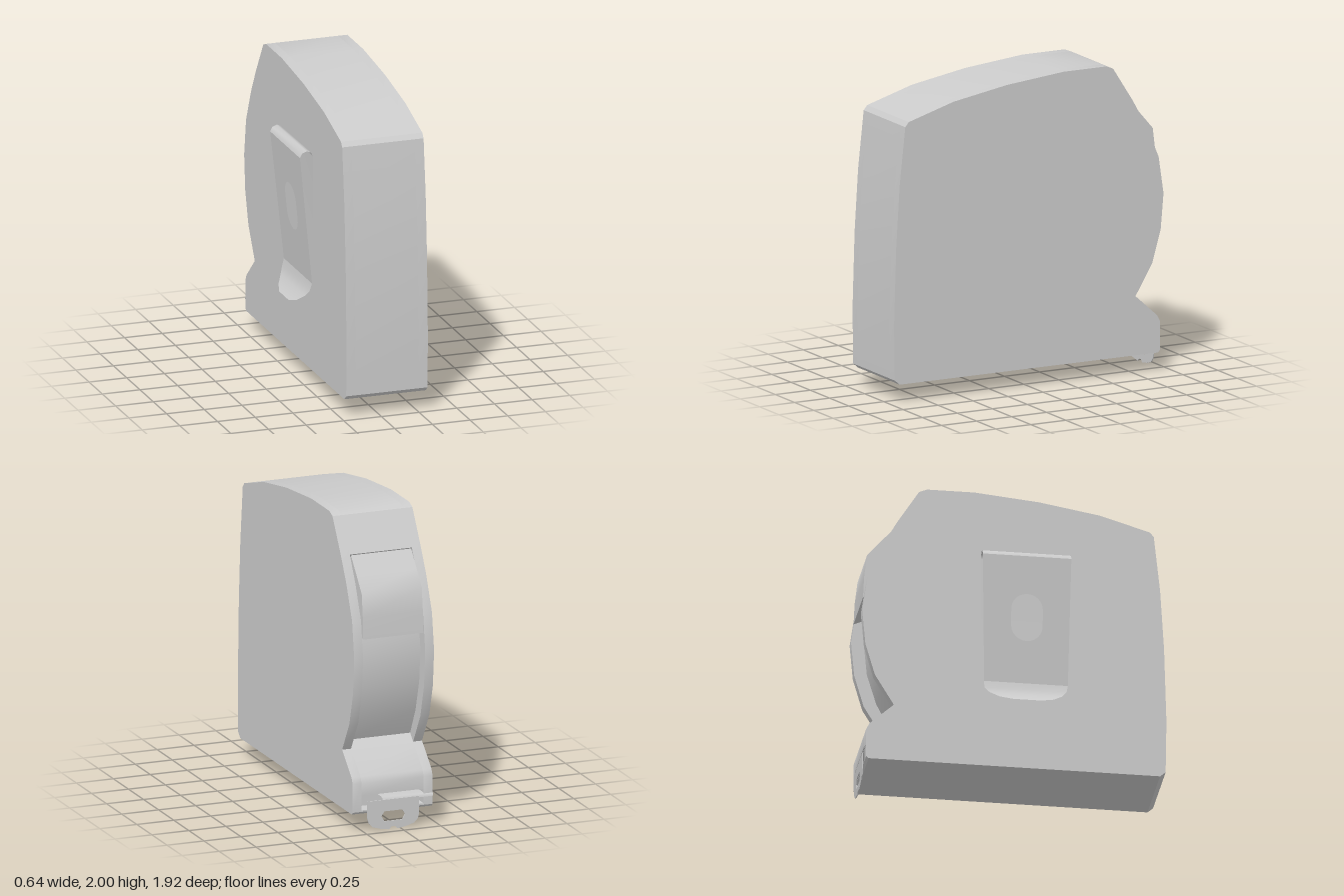
import * as THREE from 'three';
import { toCreasedNormals } from 'three/addons/utils/BufferGeometryUtils.js';

const material = new THREE.MeshStandardMaterial({ color: 0xcccccc });
const thin = new THREE.MeshStandardMaterial({ color: 0xcccccc, side: THREE.DoubleSide });
const toShape = (pts) => new THREE.Shape(pts.map(([a, b]) => new THREE.Vector2(a, b)));

function addMesh(group, name, geometry, mat = material) {
  const mesh = new THREE.Mesh(geometry, mat);
  mesh.name = name;
  group.add(mesh);
}

// Side profile [-z, y] extruded across the width from x0 to x1
function slab(pts, x0, x1, crease = 0.5) {
  const g = new THREE.ExtrudeGeometry(toShape(pts), { depth: x1 - x0, bevelEnabled: false });
  g.rotateY(Math.PI / 2).translate(x0, 0, 0);
  return toCreasedNormals(g, crease);
}

// Bent sheet through rows [x, y, zMin, zMax]
function ribbon(rows) {
  const pos = [], index = [];
  rows.forEach(([x, y, z0, z1], i) => {
    pos.push(x, y, z0, x, y, z1);
    const k = 2 * i;
    if (i) index.push(k - 2, k - 1, k, k - 1, k + 1, k);
  });
  const g = new THREE.BufferGeometry();
  g.setAttribute('position', new THREE.Float32BufferAttribute(pos, 3));
  g.setIndex(index);
  g.computeVertexNormals();
  return g;
}

export function createModel() {
  const model = new THREE.Group();

  // Case: two full cheeks around a core with a thumb recess and a mouth
  const base = [[-0.96, 0.15], [-0.925, 0.12], [0.92, 0.12], [0.935, 0.135]];
  const nose = [[0.935, 0.32], [0.915, 0.36], [0.76, 0.5]];
  const arc = [[0.88, 0.7], [0.94, 0.91], [0.96, 1.14], [0.925, 1.38], [0.83, 1.6]];
  const crown = [[0.74, 1.76], [0.6, 1.98], [0.55, 2], [0.25, 2], [-0.16, 1.96], [-0.54, 1.895],
    [-0.86, 1.8], [-0.885, 1.77], [-0.925, 1.4], [-0.95, 1], [-0.965, 0.5]];
  const mouth = [[0.935, 0.145], [0.84, 0.145], [0.84, 0.24], [0.935, 0.24]];
  const floor = [[0.71, 0.545], [0.8, 0.72], [0.86, 0.92], [0.88, 1.14], [0.845, 1.36], [0.76, 1.56], [0.69, 1.69]];
  const cheek = [...base, ...nose, ...arc, ...crown];
  addMesh(model, 'rightCheek', slab(cheek, -0.22, -0.16));
  addMesh(model, 'leftCheek', slab(cheek, 0.26, 0.32));
  addMesh(model, 'caseCore', slab([...base, ...mouth, ...nose, ...floor, ...crown], -0.16, 0.26));

  // Lock button in the top of the recess
  addMesh(model, 'lockButton', slab([[0.725, 1.73], [0.8, 1.5], [0.85, 1.3], [0.945, 1.26],
    [0.938, 1.4], [0.92, 1.55], [0.83, 1.655], [0.742, 1.755]], -0.153, 0.253, 0.8));

  // Slotted end hook with a notched lower edge
  const half = [[0.012, 0.022], [0.03, 0.005], [0.09, 0.015], [0.14, 0.03], [0.165, 0.055], [0.175, 0.09], [0.175, 0.2]];
  const mirrored = half.map(([a, b]) => [-a, b]).reverse();
  const hook = toShape([...mirrored, ...half]);
  hook.holes.push(toShape([[-0.08, 0.095], [-0.06, 0.06], [0.06, 0.06], [0.08, 0.095], [0.06, 0.125], [-0.06, 0.125]]));
  const hookGeometry = new THREE.ExtrudeGeometry(hook, { depth: 0.006, bevelEnabled: false });
  addMesh(model, 'endHook', hookGeometry.translate(0.05, 0, -0.946));

  // Tape blade curling from the hook into the mouth
  const blade = ribbon([[0.943, 0.19, -0.12, 0.22], [0.938, 0.208, -0.12, 0.22],
    [0.92, 0.215, -0.12, 0.22], [0.84, 0.215, -0.12, 0.22]]);
  addMesh(model, 'tapeBlade', blade.rotateY(Math.PI / 2).scale(-1, 1, 1), thin);

  // Belt clip: inner leaf and fold, slotted outer leaf, flared lip
  const clip = new THREE.Group();
  clip.name = 'beltClip';
  model.add(clip);
  const fold = [[-0.225, 0.92], [-0.225, 1.54], [-0.238, 1.568], [-0.268, 1.58], [-0.298, 1.568], [-0.312, 1.54]];
  addMesh(clip, 'clipFold', ribbon(fold.map(([x, y]) => [x, y, -0.21, 0.35])), thin);

  const leaf = toShape([[-0.19, 0.7], [0.34, 0.7], [0.35, 1.54], [-0.21, 1.54]]);
  const slot = new THREE.Path();
  slot.absarc(0.075, 1.19, 0.1, 0, Math.PI).absarc(0.075, 1.08, 0.1, Math.PI, 2 * Math.PI);
  leaf.holes.push(slot);
  const leafGeometry = new THREE.ShapeGeometry(leaf, 6);
  const p = leafGeometry.attributes.position;
  for (let i = 0; i < p.count; i++) {
    const z = p.getX(i), y = p.getY(i);
    p.setXYZ(i, -0.228 - 0.1 * (y - 0.7), y, z);
  }
  leafGeometry.computeVertexNormals();
  addMesh(clip, 'clipOuterLeaf', leafGeometry, thin);

  addMesh(clip, 'clipLip', ribbon([[-0.228, 0.7, -0.19, 0.34], [-0.24, 0.65, -0.19, 0.33],
    [-0.26, 0.61, -0.16, 0.3], [-0.295, 0.568, -0.1, 0.24], [-0.32, 0.545, -0.02, 0.16]]), thin);

  return model;
}
